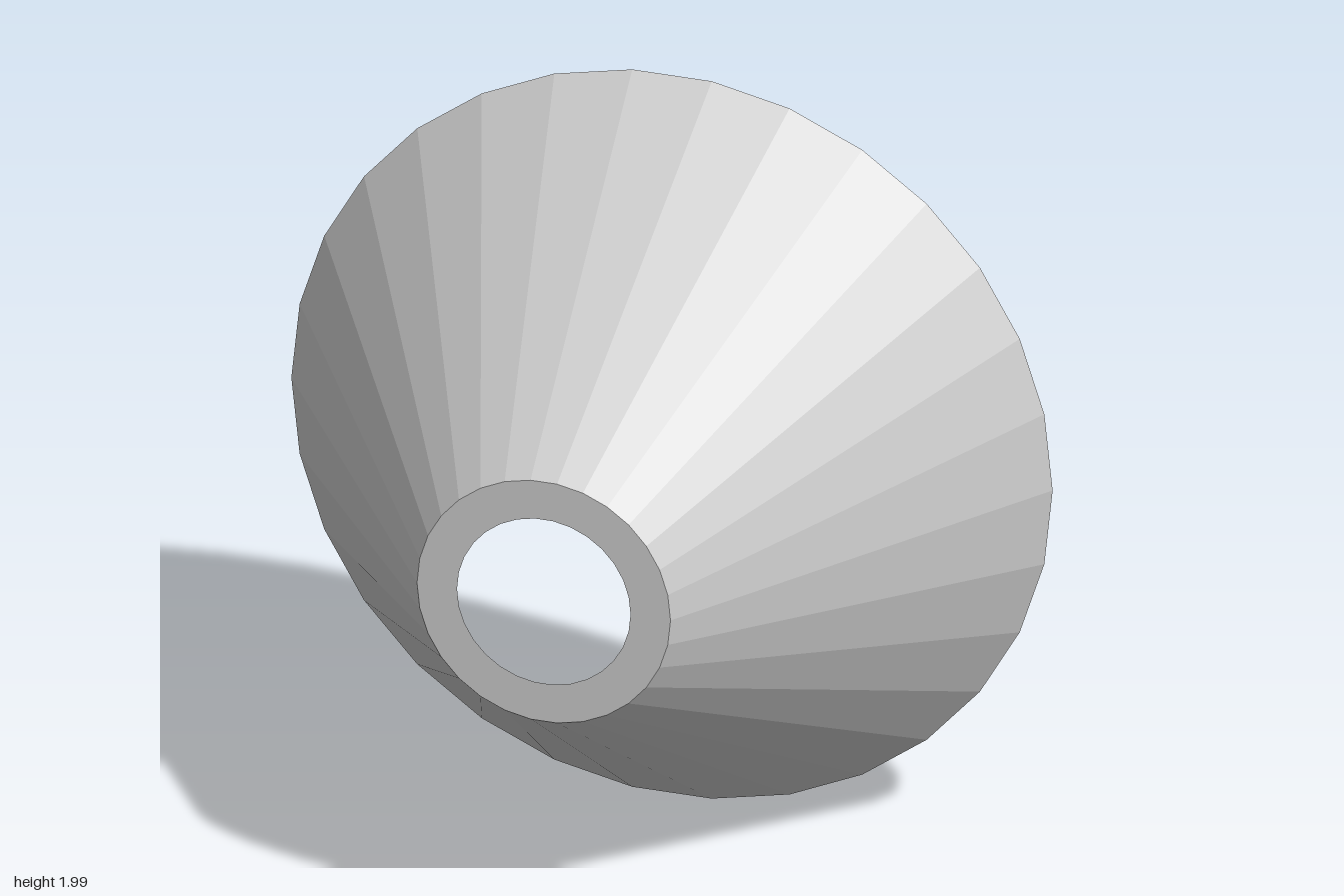
import * as THREE from 'three';

export function createModel() {
  const group = new THREE.Group();
  const material = new THREE.MeshStandardMaterial({ color: 0xcccccc, flatShading: true });

  // Closed wall section: outer slope, front rim, inner slope, back rim
  const section = [
    [1, -0.5], [0.333, 0.5], [0.228, 0.5], [0.888, -0.5], [1, -0.5],
  ].map(([r, h]) => new THREE.Vector2(r, h));

  // 30-sided hollow cone, narrow end facing the front, corners on the x axis
  const geometry = new THREE.LatheGeometry(section, 30, Math.PI / 2);
  geometry.rotateX(Math.PI / 2);

  const cone = new THREE.Mesh(geometry, material);
  cone.name = 'hollowCone';
  cone.position.y = 1;
  group.add(cone);
  return group;
}
